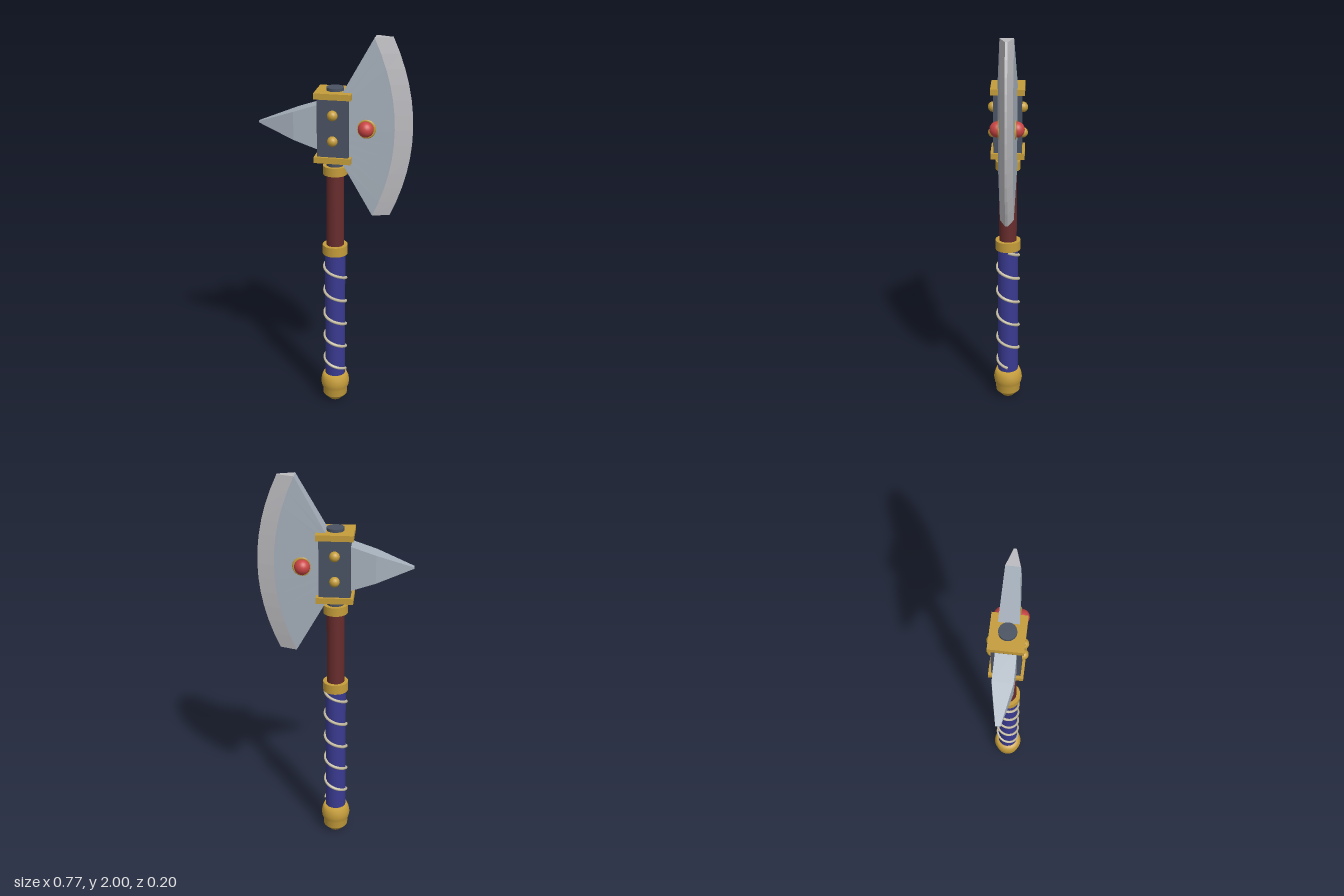
import * as THREE from 'three';

const mat = (name, color, flatShading = false) => {
  const m = new THREE.MeshStandardMaterial({ color, flatShading });
  m.name = name;
  return m;
};

// Closed solid through a list of four-cornered cross-sections
function loft(sections) {
  const index = [];
  for (let s = 0; s < sections.length - 1; s++) {
    for (let i = 0; i < 4; i++) {
      const a = s * 4 + i, b = s * 4 + (i + 1) % 4;
      index.push(a, b, b + 4, a, b + 4, a + 4);
    }
  }
  const e = (sections.length - 1) * 4;
  index.push(2, 1, 0, 3, 2, 0, e, e + 1, e + 2, e, e + 2, e + 3);
  const g = new THREE.BufferGeometry();
  g.setAttribute('position', new THREE.Float32BufferAttribute(sections.flat(2), 3));
  g.setIndex(index);
  const flat = g.toNonIndexed();
  flat.computeVertexNormals();
  return flat;
}

export function createModel() {
  const group = new THREE.Group();
  group.name = 'battleAxe';
  const gold = mat('gold', 0xc49c3a);
  const slate = mat('slate', 0x4a5262);
  const wood = mat('redWood', 0x682c2c);
  const blue = mat('blueGrip', 0x393a90);
  const cord = mat('cord', 0xc6bea2);
  const red = mat('redGem', 0xc84444);
  const steel = mat('bladeSteel', 0xa6b0bb);
  const edgeSteel = mat('edgeSteel', 0xbcbcc0);

  const add = (name, geometry, material, x = 0, y = 0, z = 0) => {
    const m = new THREE.Mesh(geometry, material);
    m.name = name;
    m.position.set(x, y, z);
    group.add(m);
    return m;
  };
  const rod = (name, r, y0, y1, material) =>
    add(name, new THREE.CylinderGeometry(r, r, y1 - y0, 20), material, 0, (y0 + y1) / 2);

  // Handle, from the pommel up
  const pommel = [[0, 0], [0.03, 0], [0.03, 0], [0.06, 0.03], [0.064, 0.035], [0.065, 0.07],
    [0.072, 0.085], [0.076, 0.11], [0.072, 0.135], [0.062, 0.16], [0, 0.16]];
  add('pommel', new THREE.LatheGeometry(pommel.map(p => new THREE.Vector2(...p)), 24), gold);
  rod('grip', 0.053, 0.15, 0.87, blue);
  rod('gripCollar', 0.065, 0.865, 0.915, gold);
  rod('shaft', 0.045, 0.9, 1.31, wood);
  rod('neckCollar', 0.062, 1.3, 1.345, gold);
  rod('headCore', 0.043, 1.34, 1.745, slate);

  // Cord wound five turns down the grip
  const turns = 5, points = [];
  for (let i = 0; i <= turns * 16; i++) {
    const a = Math.PI / 2 + i / 16 * Math.PI * 2;
    points.push(new THREE.Vector3(Math.sin(a) * 0.056, 0.862 - 0.135 * i / 16, Math.cos(a) * 0.056));
  }
  add('gripCord', new THREE.TubeGeometry(new THREE.CatmullRomCurve3(points), 160, 0.008, 6), cord);

  // Head block with its plates and studs
  add('headBlock', new THREE.BoxGeometry(0.156, 0.31, 0.14), slate, 0, 1.553, 0);
  for (const y of [1.392, 1.715]) {
    add('headPlate', new THREE.BoxGeometry(0.184, 0.03, 0.168), gold, 0, y, 0);
  }
  for (const side of [1, -1]) {
    for (const y of [1.49, 1.62]) {
      add('stud', new THREE.SphereGeometry(0.026, 16, 12), gold, 0, y, side * 0.073);
    }
    add('gem', new THREE.SphereGeometry(0.039, 24, 16), red, 0.16, 1.553, side * 0.046);
    add('gemRing', new THREE.TorusGeometry(0.042, 0.008, 8, 24), gold, 0.16, 1.553, side * 0.037);
  }

  // Blade: flat cheek and sharpened rim, in level rows
  const cheek = [], rim = [], rows = 12;
  for (let i = 0; i <= rows; i++) {
    const t = i / rows * 2 - 1, y = 1.55 + 0.45 * t, yRoot = 1.55 + 0.18 * t;
    const xm = 0.3 - 0.105 * t * t, xe = 0.385 - 0.105 * t * t;
    const zm = 0.031 + 0.003 * t * t, ze = 0.006;
    cheek.push([[0.045, yRoot, 0.05], [xm, y, zm], [xm, y, -zm], [0.045, yRoot, -0.05]]);
    rim.push([[xm, y, zm], [xe, y, ze], [xe, y, -ze], [xm, y, -zm]]);
  }
  add('bladeCheek', loft(cheek), steel);
  add('bladeEdge', loft(rim), edgeSteel);

  // Back spike
  const spike = [[-0.045, 0.125, 0.05], [-0.2, 0.072, 0.05], [-0.385, 0.003, 0.012]];
  add('backSpike', loft(spike.map(([x, h, z]) =>
    [[x, 1.55 - h, -z], [x, 1.55 - h, z], [x, 1.55 + h, z], [x, 1.55 + h, -z]])), steel);

  return group;
}
